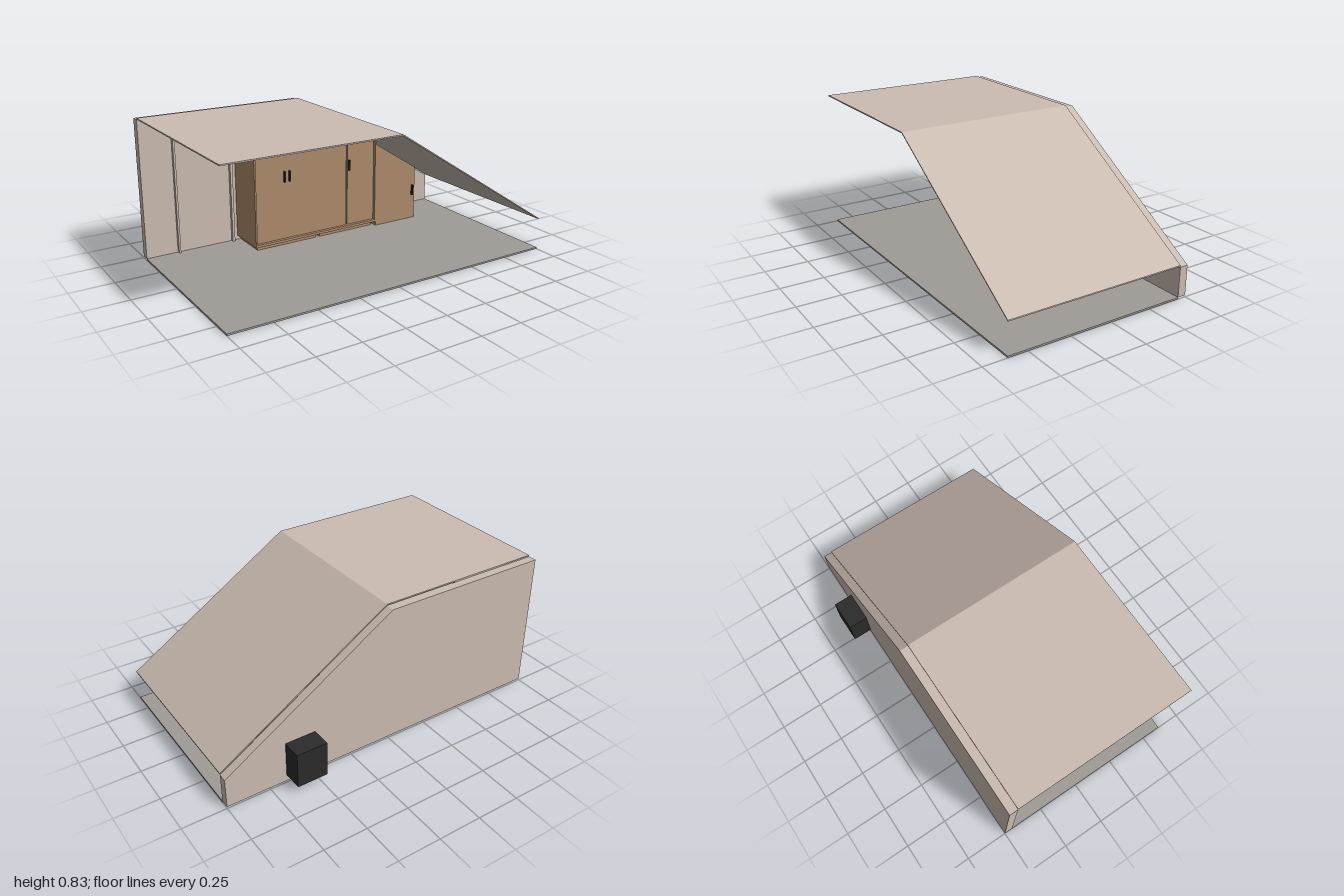
import * as THREE from 'three';

const mat = (name, color) => Object.assign(new THREE.MeshStandardMaterial({ color }), { name });

export function createModel() {
  const root = new THREE.Group();
  root.name = 'atticWardrobe';
  const plaster = mat('plaster', 0xcbbcb1);
  const wood = mat('wood', 0xac8c6b);
  const floorGrey = mat('floorGrey', 0x9f9c97);
  const black = mat('black', 0x2b2b2b);

  // Outline in x,y extruded between two depths
  const prism = (name, pts, z0, z1, material, hole) => {
    const shape = new THREE.Shape(pts.map(p => new THREE.Vector2(...p)));
    if (hole) shape.holes.push(new THREE.Path(hole.map(p => new THREE.Vector2(...p))));
    const geo = new THREE.ExtrudeGeometry(shape, { depth: z1 - z0, bevelEnabled: false });
    geo.translate(0, 0, z0);
    const mesh = new THREE.Mesh(geo, material);
    mesh.name = name;
    root.add(mesh);
  };
  const box = (name, x0, x1, y0, y1, z0, z1, material) => {
    const mesh = new THREE.Mesh(new THREE.BoxGeometry(x1 - x0, y1 - y0, z1 - z0), material);
    mesh.name = name;
    mesh.position.set((x0 + x1) / 2, (y0 + y1) / 2, (z0 + z1) / 2);
    root.add(mesh);
  };

  const back = -0.45, front = -0.2;
  // Height under the ceiling, flat then sloping down
  const roof = (x, drop) => 0.83 - drop - 0.638 * Math.max(x, 0);
  // Outline with a flat bottom and a top that follows the ceiling
  const under = (x0, x1, y0, drop) => {
    const pts = [[x0, y0], [x1, y0], [x1, roof(x1, drop)]];
    if (x0 < 0 && x1 > 0) pts.push([0, roof(0, drop)]);
    pts.push([x0, roof(x0, drop)]);
    return pts;
  };

  // Room shell
  box('floor', -1, 1, 0, 0.01, back, 0.613, floorGrey);
  prism('ceiling', [[-1, 0.823], [0, 0.823], [1, 0.186], [1, 0.193], [0, 0.83], [-1, 0.83]],
    back, 0.613, plaster);
  prism('backWall', under(-1, 1, 0.01, 0.009), -0.5, back, plaster);

  // Door frame on the back wall
  box('doorFrameRight', -0.812, -0.8, 0.01, 0.823, back, back + 0.02, plaster);
  box('doorFrameLeft', -0.47, -0.455, 0.01, 0.823, back, back + 0.02, plaster);
  box('doorFrameTop', -0.8, -0.47, 0.805, 0.823, back, back + 0.02, plaster);

  // Wardrobe with a raised rim round its doors
  prism('wardrobeBody', under(-0.43, 0.41, 0.035, 0.012), back, front - 0.03, wood);
  prism('wardrobeRim', under(-0.43, 0.41, 0.035, 0.012), front - 0.03, front, wood,
    under(-0.42, 0.403, 0.05, 0.021));
  prism('wideDoor', under(-0.42, 0.202, 0.05, 0.021), front - 0.03, front - 0.02, wood);
  prism('narrowDoor', under(0.21, 0.403, 0.05, 0.021), front - 0.03, front - 0.02, wood);
  for (const [x0, x1] of [[-0.41, -0.012], [0.012, 0.39]])
    box('plinth', x0, x1, 0.01, 0.035, back, front - 0.025, wood);

  // Low cupboard under the slope
  prism('lowCupboard', under(0.41, 0.712, 0.01, 0.03), back, front, wood);

  // Handles
  for (const x of [-0.228, -0.195, 0.218])
    box('handle', x - 0.004, x + 0.004, 0.4, 0.465, front - 0.02, front - 0.005, black);
  box('lowHandle', 0.685, 0.693, 0.167, 0.232, front, front + 0.015, black);

  // Outdoor unit behind the wall
  box('outdoorUnit', 0.475, 0.653, 0.05, 0.255, -0.613, -0.5, black);
  return root;
}
